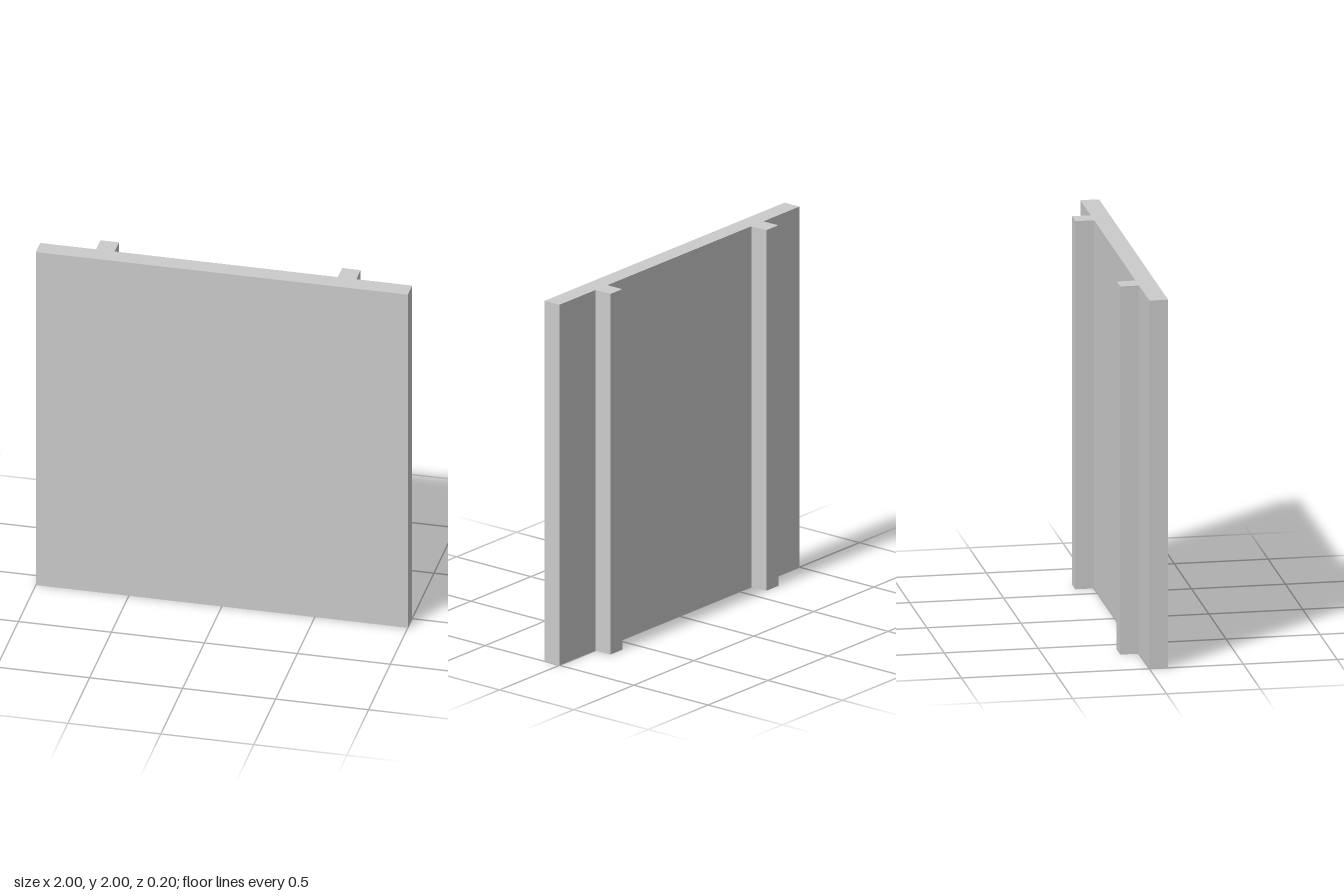
import * as THREE from 'three';

const WIDTH = 2, HEIGHT = 2, THICKNESS = 0.1;
const RIB_INNER = 0.6, RIB_OUTER = 0.7, RIB_DEPTH = 0.1;

export function createModel() {
  const group = new THREE.Group();
  group.name = 'ribbedPanel';

  // Half of the plan outline, from the front corner round to the inner rib edge (y points to the back)
  const half = [
    [WIDTH / 2, -THICKNESS],
    [WIDTH / 2, 0],
    [RIB_OUTER, 0],
    [RIB_OUTER, RIB_DEPTH],
    [RIB_INNER, RIB_DEPTH],
    [RIB_INNER, 0],
  ];
  const mirrored = half.map(([x, y]) => [-x, y]).reverse();
  const outline = [...half, ...mirrored].map(([x, y]) => new THREE.Vector2(x, y));

  // Flat panel with two full-height ribs on the back, extruded upwards as one solid
  const geometry = new THREE.ExtrudeGeometry(new THREE.Shape(outline), {
    depth: HEIGHT,
    bevelEnabled: false,
  });
  geometry.rotateX(-Math.PI / 2);

  const panel = new THREE.Mesh(
    geometry,
    new THREE.MeshStandardMaterial({ color: 0xcccccc, flatShading: true })
  );
  panel.name = 'panelWithBackRibs';
  group.add(panel);
  return group;
}
